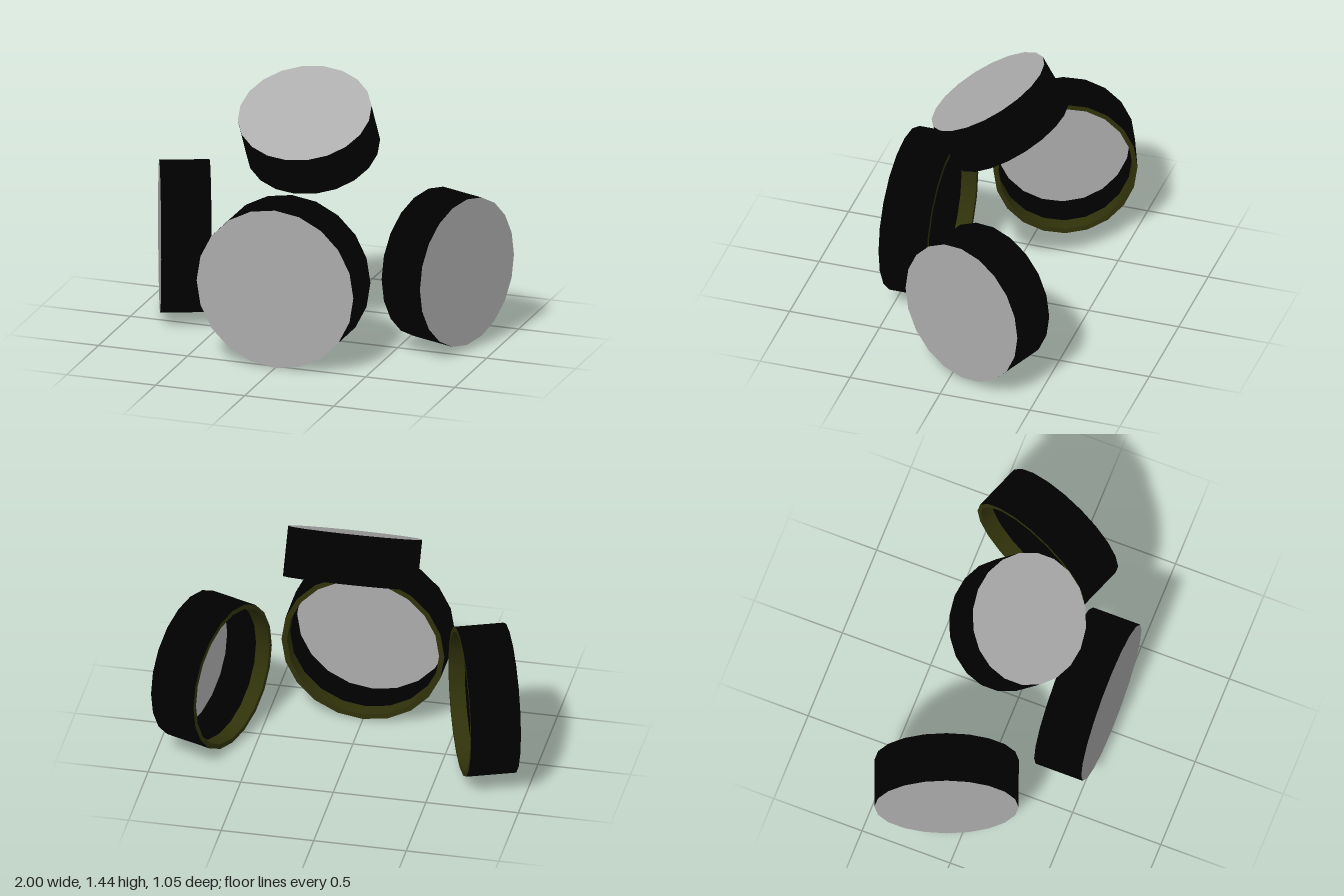
import * as THREE from 'three';

const DEPTH = 0.267, SIDES = 20;

function material(name, color) {
  const m = new THREE.MeshStandardMaterial({ color, side: THREE.DoubleSide });
  m.name = name;
  return m;
}

// Ring surface of unit radius swept between two profile points [radius, height]
function band(name, mat, from, to) {
  const points = [from, to].map(([r, y]) => new THREE.Vector2(r, y));
  const mesh = new THREE.Mesh(new THREE.LatheGeometry(points, SIDES), mat);
  mesh.name = name;
  return mesh;
}

export function createModel() {
  const black = material('black shell', 0x000000);
  const olive = material('olive lining', 0x30320a);
  const grey = material('grey drumhead', 0xacacac);

  // One open-backed drum, head facing local +y, with an oval cross-section
  function drum(name, rx, rz, position, tilt, turn) {
    const g = new THREE.Group();
    g.name = name;
    const h = DEPTH / 2, inner = 0.935, seam = -0.05;
    g.add(band('outerShell', black, [1, -h], [1, h]));
    g.add(band('openRim', olive, [inner, -h], [1, -h]));
    g.add(band('lining', olive, [inner, seam], [inner, -h]));
    g.add(band('innerShell', black, [inner, h - 0.002], [inner, seam]));
    const head = new THREE.Mesh(new THREE.CircleGeometry(1, SIDES).rotateX(-Math.PI / 2), grey);
    head.name = 'drumhead';
    head.position.y = h;
    g.add(head);
    g.scale.set(rx, 1, rz);
    g.rotation.set(tilt, turn, 0, 'YXZ');
    g.position.set(...position);
    return g;
  }

  const model = new THREE.Group();
  model.name = 'drumSet';
  const upright = Math.PI / 2, splay = THREE.MathUtils.degToRad(69);
  model.add(drum('frontDrum', 0.44, 0.44, [0, 0.442, 0.392], upright, 0));
  model.add(drum('topDrum', 0.361, 0.336, [0, 1.16, -0.006], Math.PI / 6, 0));
  // Mirrored side drums, heads facing outward
  for (const s of [1, -1]) {
    model.add(drum(s > 0 ? 'leftDrum' : 'rightDrum', 0.381, 0.407,
      [s * 0.738, 0.443, -0.122], upright, s * splay));
  }
  return model;
}
